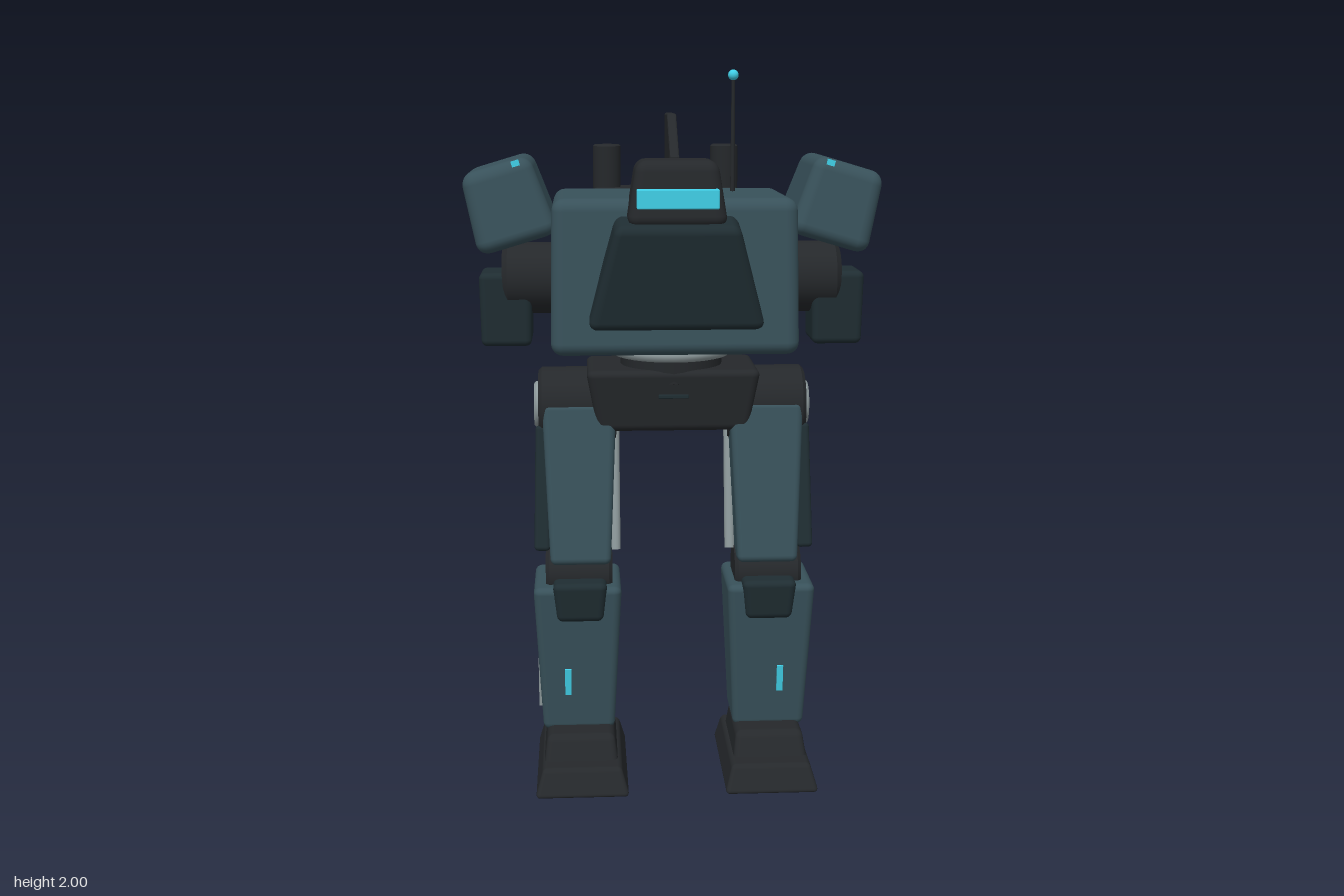
import * as THREE from 'three';
import { RoundedBoxGeometry } from 'three/addons/geometries/RoundedBoxGeometry.js';

const mat = (color) => new THREE.MeshStandardMaterial({ color });
const ARMOUR = mat(0x38515a), DARK = mat(0x25282b), PANEL = mat(0x1f2d32);
const METAL = mat(0x8d999b), GLOW = mat(0x40d0e8);

function add(parent, name, geometry, material, x = 0, y = 0, z = 0) {
  const mesh = new THREE.Mesh(geometry, material);
  mesh.name = name;
  mesh.position.set(x, y, z);
  parent.add(mesh);
  return mesh;
}

function pivot(parent, name, x, y, z, rx = 0, rz = 0) {
  const g = new THREE.Group();
  g.name = name;
  g.position.set(x, y, z);
  g.rotation.set(rx, 0, rz);
  parent.add(g);
  return g;
}

// Rounded box from y0 to y1; width and z range run from bottom to top values.
function block(parent, name, material, cx, [y0, y1], [wBottom, wTop], zBottom, zTop, r = 0.02) {
  const h = y1 - y0;
  const geo = new RoundedBoxGeometry(1, h, 1, 3, 0);
  const dB = zBottom[1] - zBottom[0], dT = zTop[1] - zTop[0];
  const w = (wBottom + wTop) / 2, d = (dB + dT) / 2;
  const rounded = new RoundedBoxGeometry(w, h, d, 3, Math.min(r, h / 2.1, w / 2.1, d / 2.1));
  geo.dispose();
  const p = rounded.attributes.position, n = rounded.attributes.normal;
  const mB = (zBottom[0] + zBottom[1]) / 2, mT = (zTop[0] + zTop[1]) / 2;
  const kx = (wTop - wBottom) / w / h, kz = (dT - dB) / d / h, shear = (mT - mB) / h;
  const v = new THREE.Vector3();
  for (let i = 0; i < p.count; i++) {
    const x = p.getX(i), y = p.getY(i), z = p.getZ(i);
    const sx = 1 + kx * y, sz = 1 + kz * y;
    p.setXYZ(i, x * sx, y, z * sz + shear * y);
    const nx = n.getX(i) / sx, nz = n.getZ(i) / sz;
    v.set(nx, n.getY(i) - x * kx * nx - (z * kz + shear) * nz, nz).normalize();
    n.setXYZ(i, v.x, v.y, v.z);
  }
  return add(parent, name, rounded, material, cx, (y0 + y1) / 2, (mB + mT) / 2);
}

// Lathed disc or drum with softened rims, along axis 'x', 'y' or 'z'.
function drum(parent, name, material, r, length, axis, x, y, z, bevel = 0.01) {
  const h = length / 2;
  const half = [[0, -h], [r - bevel, -h], [r - bevel, -h], [r, -h + bevel], [r, -h + bevel],
    [r, h - bevel], [r, h - bevel], [r - bevel, h], [r - bevel, h], [0, h]];
  const geo = new THREE.LatheGeometry(half.map(([a, b]) => new THREE.Vector2(a, b)), 32);
  if (axis === 'x') geo.rotateZ(-Math.PI / 2);
  if (axis === 'z') geo.rotateX(Math.PI / 2);
  return add(parent, name, geo, material, x, y, z);
}

function buildTorso(root) {
  block(root, 'torso', ARMOUR, 0, [1.235, 1.66], [0.68, 0.665], [-0.232, 0.3], [-0.195, 0.275], 0.035);

  const chest = pivot(root, 'chest', 0, 1.465, 0.318, 0.2);
  block(chest, 'chestPlate', PANEL, 0, [-0.145, 0.145], [0.48, 0.325], [-0.065, 0.065], [-0.065, 0.065], 0.025);

  // Head, visor and crest
  block(root, 'head', DARK, 0, [1.59, 1.765], [0.27, 0.215], [0.19, 0.39], [0.205, 0.365], 0.03);
  block(root, 'visor', GLOW, 0, [1.64, 1.692], [0.216, 0.216], [0.34, 0.398], [0.34, 0.398], 0.004);
  const fin = new THREE.Shape([[-0.048, 1.64], [0.22, 1.64], [0.22, 1.765], [0.075, 1.875], [-0.042, 1.875]]
    .map(([z, y]) => new THREE.Vector2(-z, y)));
  const finGeo = new THREE.ExtrudeGeometry(fin, {
    depth: 0.016, bevelThickness: 0.005, bevelSize: 0.005, bevelSegments: 2 });
  finGeo.translate(0, 0, -0.008).rotateY(Math.PI / 2);
  add(root, 'crest', finGeo, DARK);

  // Antenna
  add(root, 'antennaRod', new THREE.CylinderGeometry(0.005, 0.007, 0.34, 10), DARK, 0.18, 1.81, -0.022);
  add(root, 'antennaTip', new THREE.SphereGeometry(0.015, 16, 12), GLOW, 0.18, 1.985, -0.022);

  // Backpack
  block(root, 'backpack', DARK, 0, [1.285, 1.66], [0.455, 0.44], [-0.373, -0.165], [-0.355, -0.168], 0.022);
  drum(root, 'thruster', GLOW, 0.108, 0.09, 'z', 0, 1.475, -0.37);
  for (const s of [1, -1]) drum(root, 'exhaust', DARK, 0.041, 0.26, 'y', s * 0.175, 1.655, -0.25, 0.005);
}

function buildPelvis(root) {
  drum(root, 'waist', DARK, 0.145, 0.12, 'y', 0, 1.19, 0.05);
  const ring = new THREE.TorusGeometry(0.155, 0.019, 12, 40).rotateX(Math.PI / 2);
  add(root, 'waistRing', ring, METAL, 0, 1.222, 0.05);
  block(root, 'pelvis', DARK, 0, [1.0, 1.178], [0.425, 0.49], [-0.05, 0.17], [-0.09, 0.2], 0.02);
  block(root, 'pelvisSlot', PANEL, 0, [1.098, 1.11], [0.085, 0.085], [0.15, 0.192], [0.15, 0.192], 0.003);
}

function buildArm(root, s) {
  const shoulder = pivot(root, 'shoulder', s * 0.455, 1.638, 0.04, 0, -s * 0.29);
  block(shoulder, 'shoulderArmour', ARMOUR, 0, [-0.112, 0.112], [0.23, 0.195], [-0.185, 0.185], [-0.158, 0.158], 0.035);
  for (const z of [-0.152, 0.152])
    add(shoulder, 'shoulderLight', new THREE.BoxGeometry(0.022, 0.016, 0.012), GLOW, -s * 0.057, 0.1, z);
  drum(root, 'upperArm', DARK, 0.1, 0.2, 'x', s * 0.375, 1.425, 0.055, 0.015);
  block(root, 'forearm', PANEL, s * 0.465, [1.24, 1.447], [0.14, 0.148], [-0.022, 0.137], [-0.025, 0.142], 0.018);
}

function buildLeg(root, s) {
  drum(root, 'hip', DARK, 0.108, 0.22, 'x', s * 0.27, 1.06, 0.055);
  drum(root, 'hipCap', METAL, 0.066, 0.04, 'x', s * 0.373, 1.06, 0.055, 0.006);

  // Thigh, tilted so that the knee sits forward
  const thigh = pivot(root, 'upperLeg', s * 0.265, 1.06, 0.055, -0.19);
  block(thigh, 'thigh', ARMOUR, 0, [-0.455, 0.0], [0.17, 0.21], [-0.095, 0.1], [-0.1, 0.11], 0.018);
  const side = pivot(thigh, 'thighSide', s * 0.1, 0, 0, 0, s * 0.02);
  block(side, 'thighPanel', PANEL, 0, [-0.415, -0.06], [0.045, 0.045], [-0.08, 0.085], [-0.085, 0.085], 0.012);
  add(thigh, 'thighPiston', new THREE.CylinderGeometry(0.015, 0.015, 0.39, 14), METAL, -s * 0.1, -0.225, 0);

  // Knee
  drum(root, 'knee', DARK, 0.08, 0.19, 'x', s * 0.27, 0.585, 0.135);
  block(root, 'kneePad', PANEL, s * 0.268, [0.468, 0.585], [0.13, 0.155], [0.18, 0.257], [0.18, 0.276], 0.018);

  // Shin with strut and light
  block(root, 'shin', ARMOUR, s * 0.275, [0.125, 0.568], [0.205, 0.25], [0.01, 0.205], [-0.002, 0.258], 0.02);
  const strut = new THREE.BoxGeometry(0.022, 0.34, 0.03);
  const strutMesh = add(root, 'shinStrut', strut, METAL, s * 0.381, 0.337, 0.118);
  strutMesh.rotation.x = 0.075;
  const light = add(root, 'shinLight', new THREE.BoxGeometry(0.018, 0.08, 0.012), GLOW, s * 0.305, 0.28, 0.223);
  light.rotation.x = 0.12;

  // Ankle and foot
  block(root, 'ankle', DARK, s * 0.27, [0.05, 0.14], [0.215, 0.19], [0.02, 0.325], [0.045, 0.28], 0.018);
  block(root, 'foot', DARK, s * 0.267, [0, 0.075], [0.265, 0.22], [-0.022, 0.402], [-0.012, 0.365], 0.012);
}

export function createModel() {
  const root = new THREE.Group();
  root.name = 'walker';
  buildTorso(root);
  buildPelvis(root);
  for (const s of [1, -1]) {
    buildArm(root, s);
    buildLeg(root, s);
  }
  return root;
}
